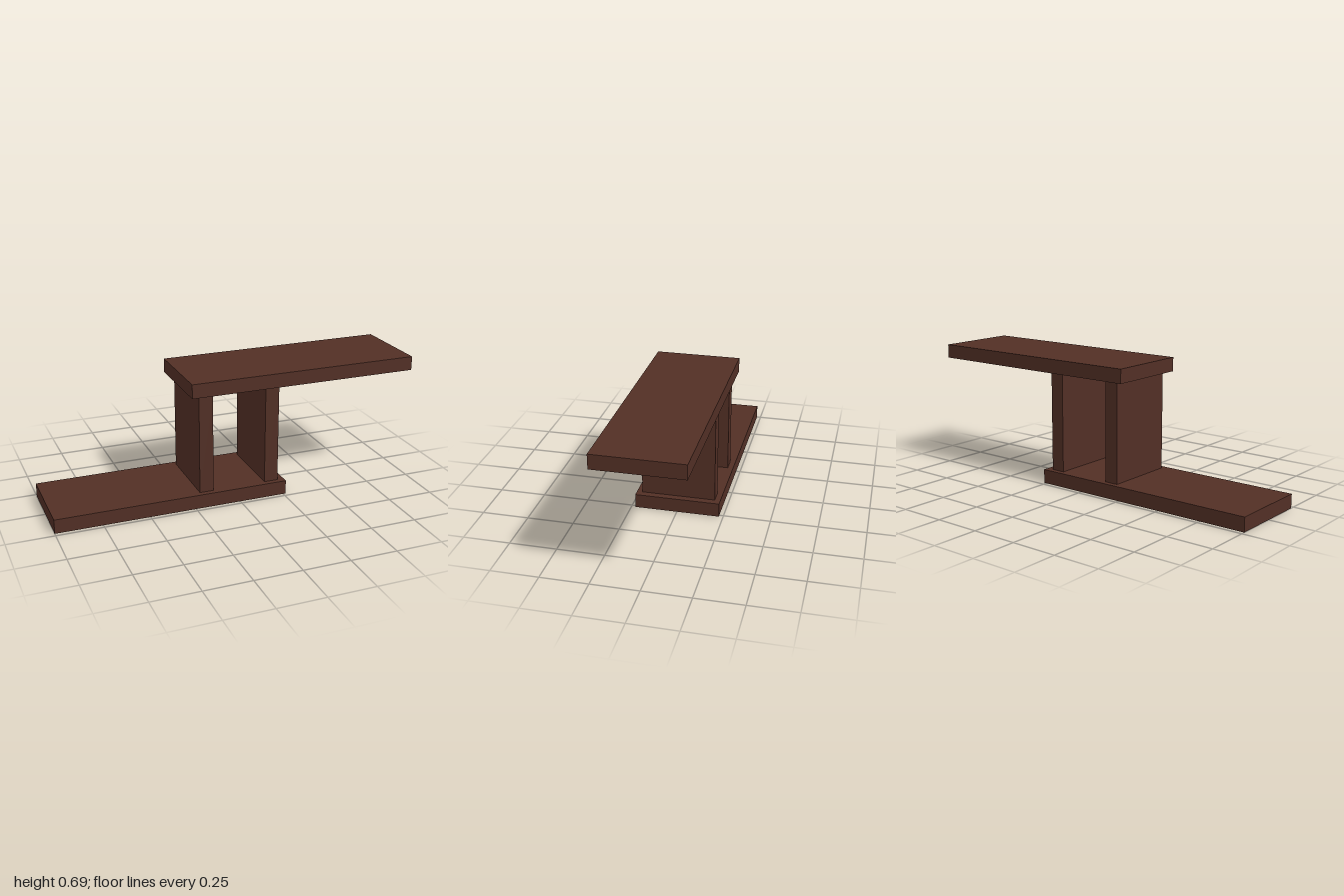
import * as THREE from 'three';

export function createModel() {
  const model = new THREE.Group();
  const darkWood = new THREE.MeshStandardMaterial({ color: 0x522f25 });
  darkWood.name = 'darkWood';

  // One plank given by its extents in x and y and its depth in z
  function plank(name, x0, x1, y0, y1, depth) {
    const mesh = new THREE.Mesh(new THREE.BoxGeometry(x1 - x0, y1 - y0, depth), darkWood);
    mesh.position.set((x0 + x1) / 2, (y0 + y1) / 2, 0);
    mesh.name = name;
    model.add(mesh);
  }

  const thickness = 0.076, height = 0.692, shelfDepth = 0.455, postDepth = 0.395;

  // Two offset shelves
  plank('lowerShelf', -1, 0.264, 0, thickness, shelfDepth);
  plank('upperShelf', -0.264, 1, height - thickness, height, shelfDepth);

  // Two upright panels between the shelves
  plank('rightUpright', -0.218, -0.142, thickness, height - thickness, postDepth);
  plank('leftUpright', 0.151, 0.227, thickness, height - thickness, postDepth);

  return model;
}
